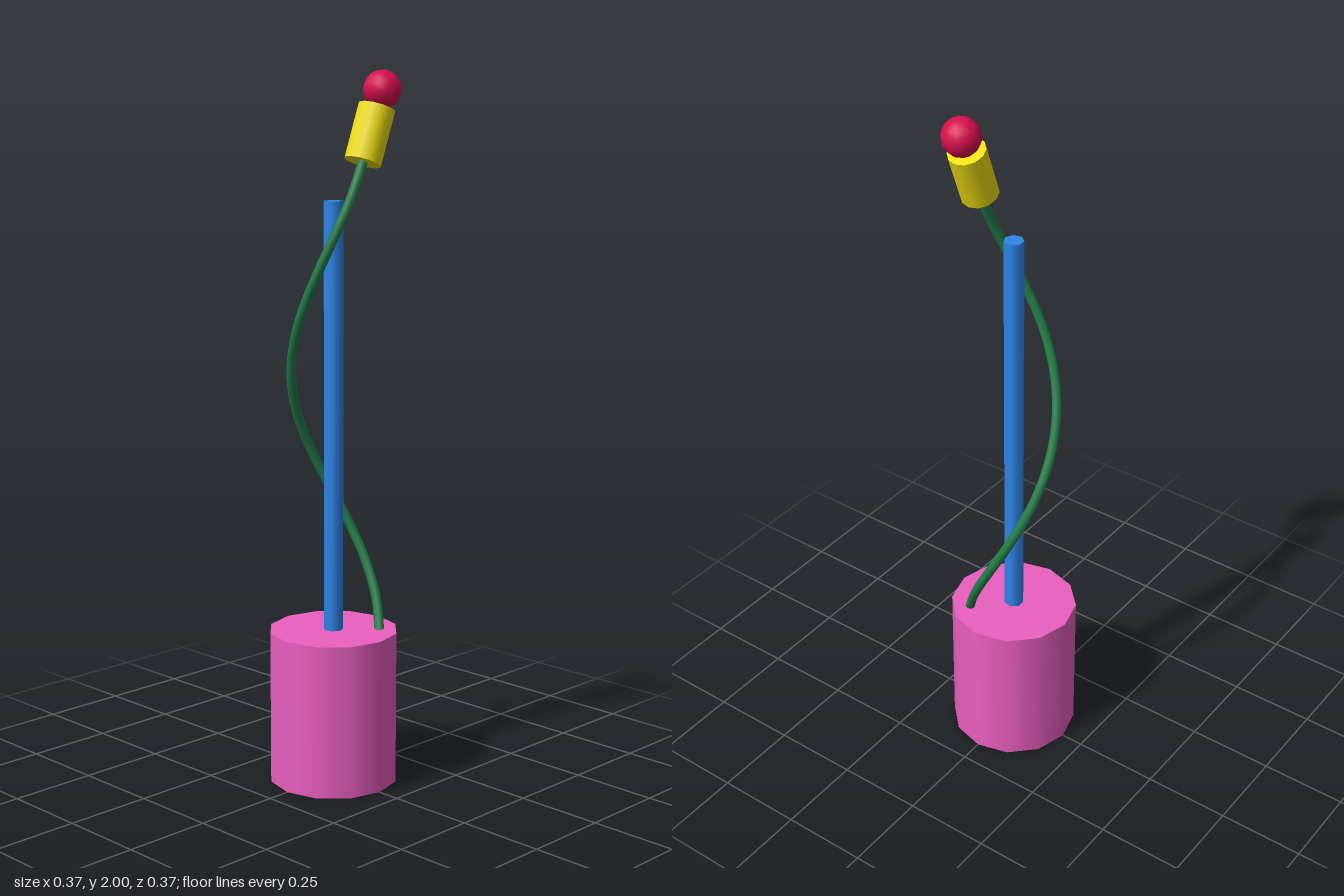
import * as THREE from 'three';

export function createModel() {
  const model = new THREE.Group();
  const add = (name, geometry, color) => {
    const mesh = new THREE.Mesh(geometry, new THREE.MeshStandardMaterial({ color }));
    mesh.name = name;
    model.add(mesh);
    return mesh;
  };

  // Twelve-sided pot
  add('pot', new THREE.CylinderGeometry(0.184, 0.184, 0.44, 12), 0xea5fc0).position.y = 0.22;

  // Seven-sided support pole
  const pole = add('pole', new THREE.CylinderGeometry(0.028, 0.028, 1.23, 7), 0x2f86ec);
  pole.position.y = 1.035;
  pole.rotation.y = Math.PI / 2;

  // Stem winding once round the pole, drawing in slightly as it climbs
  const points = [];
  for (let i = 0; i <= 14; i++) {
    const t = i / 14;
    const angle = THREE.MathUtils.lerp(0.23 * Math.PI, 2.03 * Math.PI, t);
    const radius = 0.132 - 0.027 * t;
    points.push(new THREE.Vector3(
      radius * Math.cos(angle),
      0.25 + 0.2375 * angle,
      -radius * Math.sin(angle),
    ));
  }
  const stem = new THREE.CatmullRomCurve3(points);
  add('stem', new THREE.TubeGeometry(stem, 48, 0.0138, 8), 0x237f48);

  // Leaning flower cup with a round bud on top
  const cup = add('flowerCup', new THREE.CylinderGeometry(0.052, 0.052, 0.154, 12), 0xf0de12);
  cup.position.set(0.101, 1.829, -0.037);
  cup.rotation.x = -0.36;

  const bud = add('bud', new THREE.SphereGeometry(0.053, 12, 10), 0xd80f50);
  bud.position.set(0.101, 1.948, -0.085);
  bud.rotation.x = -0.36;

  return model;
}
